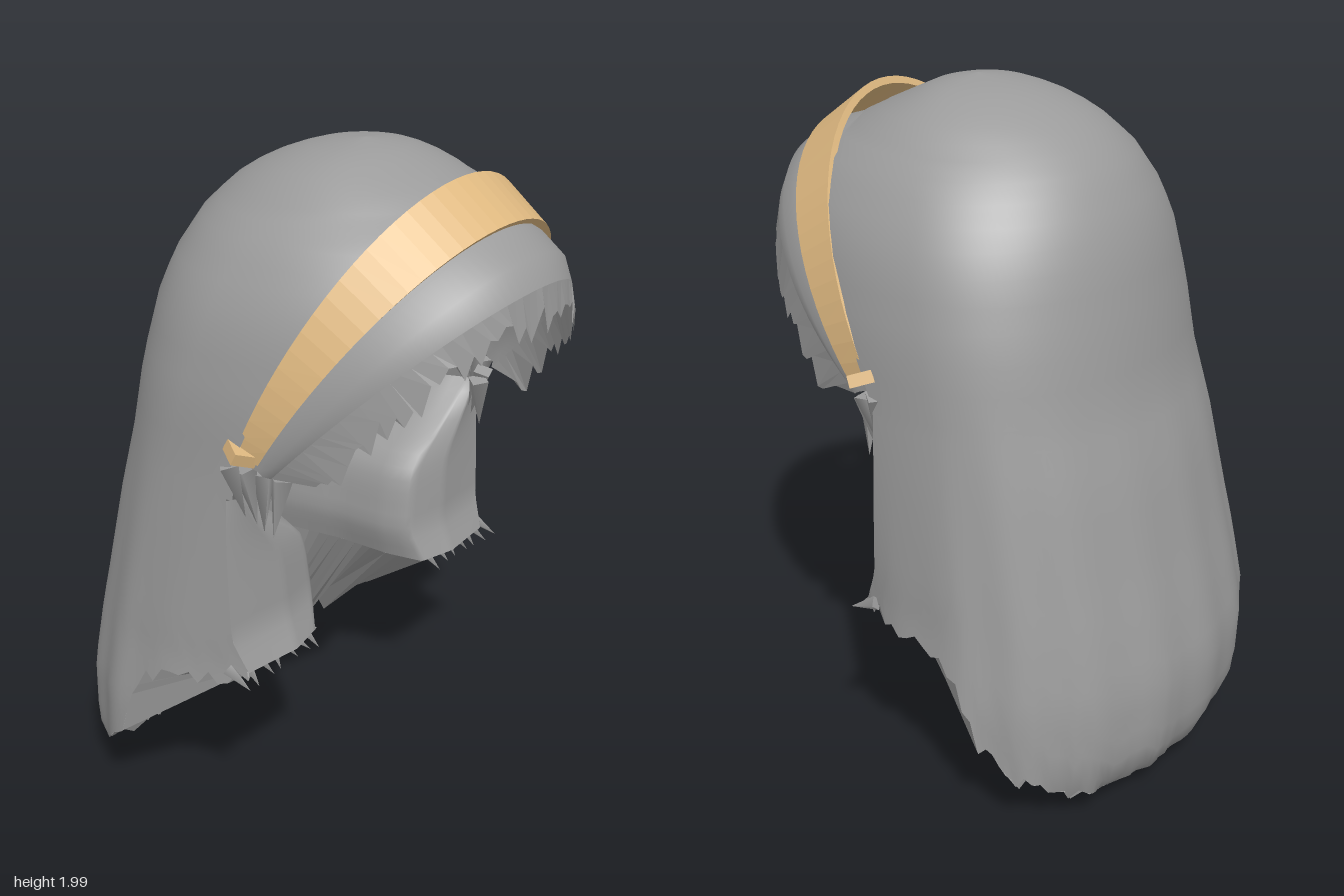
import * as THREE from 'three';

const { lerp, clamp } = THREE.MathUtils;
const noise = (i) => { const s = Math.sin(i * 127.1 + 3.7) * 43758.5453; return (s - Math.floor(s)) * 2 - 1; };

// Linear lookup in rows sorted by their first number
function look(table, k, col = 1) {
  for (let i = 1; i < table.length; i++) {
    const a = table[i - 1], b = table[i];
    if (k <= b[0]) return lerp(a[col], b[col], clamp((k - a[0]) / (b[0] - a[0]), 0, 1));
  }
  return table[table.length - 1][col];
}

// Surface through a grid of points: fn(i, j) -> [x, y, z]
function grid(rows, cols, fn, faceted = false) {
  const pos = [], index = [];
  for (let i = 0; i <= rows; i++) for (let j = 0; j <= cols; j++) {
    pos.push(...fn(i, j));
    if (i < rows && j < cols) {
      const a = i * (cols + 1) + j, b = a + cols + 1;
      index.push(a, b, a + 1, a + 1, b, b + 1);
    }
  }
  let g = new THREE.BufferGeometry();
  g.setAttribute('position', new THREE.Float32BufferAttribute(pos, 3));
  g.setIndex(index);
  if (faceted) g = g.toNonIndexed();
  g.computeVertexNormals();
  return g;
}

// Hair sections: y, half width, back z, front z, centre z, z where the front is cut
const SECTIONS = [
  [0, 0.55, -0.53, 0.42, -0.25, 0.14], [0.1, 0.65, -0.66, 0.43, -0.24, 0.14],
  [0.2, 0.68, -0.7, 0.44, -0.23, 0.14], [0.4, 0.68, -0.71, 0.47, -0.21, 0.14],
  [0.6, 0.655, -0.67, 0.5, -0.2, 0.15], [0.7, 0.648, -0.645, 0.52, -0.18, 0.11],
  [1, 0.62, -0.58, 0.62, -0.13, 0.1], [1.2, 0.6, -0.52, 0.72, -0.1, 0.1],
  [1.4, 0.585, -0.49, 0.72, -0.05, 0.19], [1.6, 0.54, -0.45, 0.7, 0, 0.29],
  [1.7, 0.49, -0.41, 0.68, 0.02, 0.335], [1.8, 0.42, -0.35, 0.58, 0.05, 0.385],
  [1.87, 0.345, -0.28, 0.45, 0.07, 0.42], [1.9, 0.31, -0.24, 0.39, 0.08, 0.43],
  [1.95, 0.23, -0.14, 0.28, 0.09, 0.44], [1.985, 0.13, -0.03, 0.2, 0.1, 0.44], [2, 0, 0.1, 0.1, 0.1, 0.44],
];

// Point on the hair; u runs from -1 to 1 around the back
function hairPoint(u, y, inset = 0) {
  const [w, back, front, zc, cut] = [1, 2, 3, 4, 5].map((c) => look(SECTIONS, y, c));
  const limit = front - zc < 0.001 ? Math.PI : Math.acos(clamp(-(cut - zc) / (front - zc), -1, 1));
  const a = u * limit, c = Math.cos(a);
  const wave = 1 + 0.011 * clamp(1.3 - y, 0, 1) * Math.sin(a * 17) * (1 - Math.abs(u) ** 6);
  const k = wave * (1 - inset);
  return [w * Math.sin(a) * k, y, zc - (c > 0 ? zc - back : front - zc) * c * k];
}

// Ragged lower edge, by distance round from the back
const HEM = [[0, 0.015], [0.2, 0.035], [0.4, 0.09], [0.55, 0.18], [0.68, 0.27], [0.76, 0.51], [1, 0.6]];
const hemY = (u) => Math.max(0, look(HEM, Math.abs(u)) + 0.03 * noise(Math.round(u * 48)) * Math.min(1, Math.abs(u) * 4));

// Inner edge of the side curtains, by height
const CURTAIN = [[0.6, 0.23], [0.7, 0.2], [0.85, 0.22], [0.92, 0.25], [1, 0.36], [1.06, 0.44], [1.14, 0.52]];

// Half of an inner section: s = 0 at the back centre, 1 at the curtain's outer edge
function innerPoint(s, y) {
  const k = Math.abs(s), sign = s < 0 ? -1 : 1;
  const e = look(CURTAIN, y), end = hairPoint(1, y);
  const back = -0.44 - 0.03 * clamp(1 - y, 0, 1);
  const path = [
    [0, 0, back], [0.15, e * 0.72, back + 0.04], [0.3, e * 0.95, -0.15], [0.42, e, 0.02],
    [0.48, e + 0.03, end[2] - 0.01], [0.7, lerp(e, end[0], 0.45), end[2] + 0.02], [1, end[0], end[2]],
  ];
  return [sign * look(path, k, 1), y, look(path, k, 2)];
}

// Arch from one side over the brow to the other
const arch = (t, w, y, rise, z, reach) => [w * Math.cos(t), y + rise * Math.sin(t), z + reach * Math.sin(t)];

export function createModel() {
  const model = new THREE.Group();
  const hair = new THREE.MeshStandardMaterial({ color: 0x9b9b9b, side: THREE.DoubleSide });
  hair.name = 'greyHair';
  const gold = new THREE.MeshStandardMaterial({ color: 0xdeb880, side: THREE.DoubleSide });
  gold.name = 'paleGold';
  const add = (name, geometry, material) => {
    const mesh = new THREE.Mesh(geometry, material);
    mesh.name = name;
    model.add(mesh);
    return mesh;
  };

  // Outer hair: dome on top, then long fall to the hem
  const N = 96, DOME = 18, FALL = 16;
  add('outerHair', grid(DOME + FALL, N, (i, j) => {
    const u = (j / N) * 2 - 1;
    const y = i <= DOME ? 2 - 0.8 * (i / DOME) ** 2 : lerp(1.2, hemY(u), (i - DOME) / FALL);
    return hairPoint(u, y);
  }), hair);

  // Cap lining with a ragged lower edge
  add('capLining', grid(14, 48, (i, j) => {
    const u = (j / 48) * 2 - 1, v = i / 14;
    const low = 1.14 + 0.035 * noise(j + 200);
    return hairPoint(u, lerp(1.94, low, v * v), 0.07);
  }), hair);

  // Front curtains and the inside of the fall
  add('curtains', grid(14, 80, (i, j) =>
    innerPoint((j / 80) * 2 - 1, lerp(1.13, 0.6, i / 14))), hair);

  // Pleated underside from the curtains down to the hem
  const spread = [[0, 0], [0.15, 0.14], [0.3, 0.3], [0.48, 0.5], [0.7, 0.7], [1, 1]];
  add('underside', grid(1, N, (i, j) => {
    const s = (j / N) * 2 - 1;
    if (i === 0) return innerPoint(s, 0.6);
    const u = Math.sign(s) * look(spread, Math.abs(s));
    return hairPoint(u, hemY(u));
  }, true), hair);

  // Ragged tufts on the curtain ends
  for (const side of [-1, 1]) for (let i = 0; i < 7; i++) {
    const tuft = add('curtainTuft', new THREE.ConeGeometry(0.022, 0.09, 4), hair);
    tuft.position.set(side * (0.3 + i * 0.05), 0.6 + 0.01 * noise(i), 0.145);
    tuft.rotation.set(2.1 + 0.3 * noise(i + 9), 0, side * 0.3 * noise(i + 30));
  }

  // Brow hair in front of the band: width, y, rise, z, reach for each row
  const browRows = [
    [0.55, 1.24, 0.63, 0.11, 0.31], [0.535, 1.22, 0.605, 0.17, 0.4], [0.535, 1.21, 0.56, 0.19, 0.455],
    [0.515, 1.2, 0.5, 0.2, 0.48],
  ];
  add('browHair', grid(3, 60, (i, j) => arch((j / 60) * Math.PI, ...browRows[i])), hair);

  // Jagged fringe hanging from the brow hair
  add('fringe', grid(1, 60, (i, j) => {
    const t = (j / 60) * Math.PI;
    if (i === 0) return arch(t, ...browRows[3]);
    const p = arch(t, 0.475, 1.17, 0.44, 0.32, 0.37);
    p[1] += 0.045 * noise(j + 70);
    return p;
  }, true), hair);

  // Loose strands beside the ears
  for (const side of [-1, 1]) for (let i = 0; i < 4; i++) {
    const strand = add('earStrand', new THREE.ConeGeometry(0.035, 0.17, 4), hair);
    strand.position.set(side * (0.55 - i * 0.025), 1.15 - 0.02 * i, 0.11 + 0.025 * i);
    strand.rotation.set(Math.PI + 0.2 * noise(i), i, side * 0.2);
  }

  // Headband: thin closed strip, wide at the crown and narrow at the ends
  const bandRows = [
    [0.57, 1.27, 0.68, 0.12, 0.31], [0.555, 1.25, 0.595, 0.19, 0.38],
    [0.54, 1.25, 0.58, 0.18, 0.375], [0.555, 1.27, 0.66, 0.11, 0.31], [0.57, 1.27, 0.68, 0.12, 0.31],
  ];
  add('headband', grid(4, 40, (i, j) => arch((j / 40) * Math.PI, ...bandRows[i]), true), gold);

  // Flared tips of the headband
  for (const side of [-1, 1]) {
    const tip = add('headbandTip', new THREE.BoxGeometry(0.07, 0.035, 0.07), gold);
    tip.position.set(side * 0.565, 1.275, 0.14);
    tip.rotation.set(0.3, side * 0.5, side * 0.2);
  }
  return model;
}
